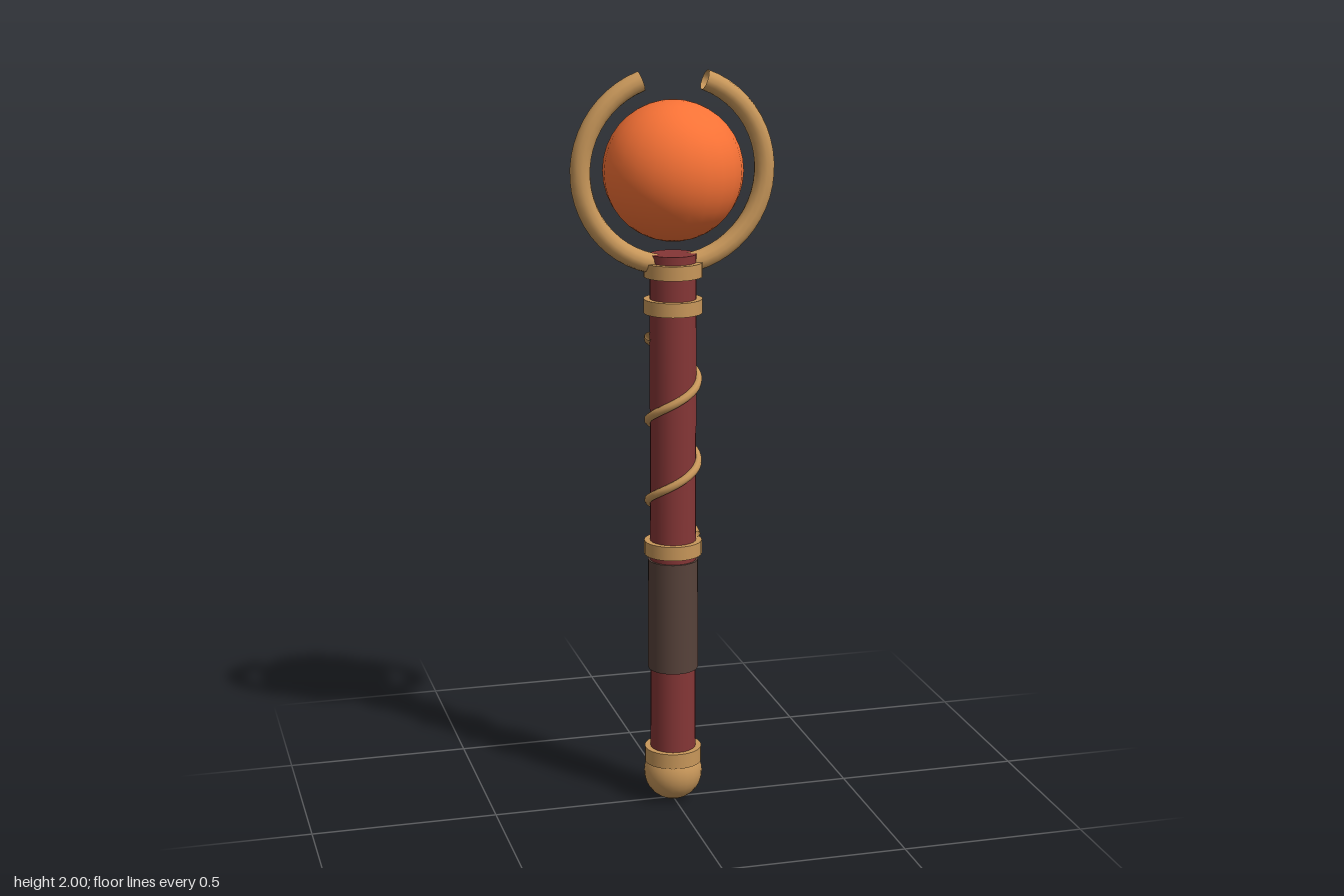
import * as THREE from 'three';

const material = (color, side = THREE.FrontSide) => new THREE.MeshStandardMaterial({ color, side });

export function createModel() {
  const group = new THREE.Group();
  const gold = material(0xc8975a);
  const openGold = material(0xc8975a, THREE.DoubleSide);
  const redWood = material(0x853636);
  const leather = material(0x57423a);
  const orange = material(0xf87236);

  const add = (name, geometry, mat, y = 0) => {
    const mesh = new THREE.Mesh(geometry, mat);
    mesh.name = name;
    mesh.position.y = y;
    group.add(mesh);
    return mesh;
  };
  // Upright cylinder spanning two heights
  const rod = (name, radius, y0, y1, mat) =>
    add(name, new THREE.CylinderGeometry(radius, radius, y1 - y0, 24), mat, (y0 + y1) / 2);

  // Handle
  rod('shaft', 0.062, 0.08, 1.527, redWood);
  rod('grip', 0.068, 0.383, 0.692, leather);
  add('pommel', new THREE.SphereGeometry(0.08, 24, 16), gold, 0.08);

  // Metal bands
  rod('pommelCollar', 0.078, 0.112, 0.154, gold);
  for (const [name, y] of [['gripCollar', 0.727], ['upperCollar', 1.389], ['topCollar', 1.486]]) {
    rod(name, 0.078, y - 0.019, y + 0.019, gold);
  }

  // Wire wound two and a half turns up the shaft
  const points = [];
  const turns = 2.5, steps = 60;
  for (let i = 0; i <= steps; i++) {
    const t = i / steps, a = t * turns * Math.PI * 2;
    points.push(new THREE.Vector3(0.066 * Math.cos(a), 0.755 + 0.555 * t, -0.066 * Math.sin(a)));
  }
  add('spiralWire', new THREE.TubeGeometry(new THREE.CatmullRomCurve3(points), 120, 0.0115, 8), openGold);

  // Orb in an open ring with its gap at the top
  add('orb', new THREE.SphereGeometry(0.184, 24, 18), orange, 1.745);
  const gap = 0.7;
  const ring = add('openRing', new THREE.TorusGeometry(0.248, 0.027, 12, 48, Math.PI * 2 - gap), openGold, 1.745);
  ring.rotation.z = Math.PI / 2 + gap / 2;

  return group;
}
